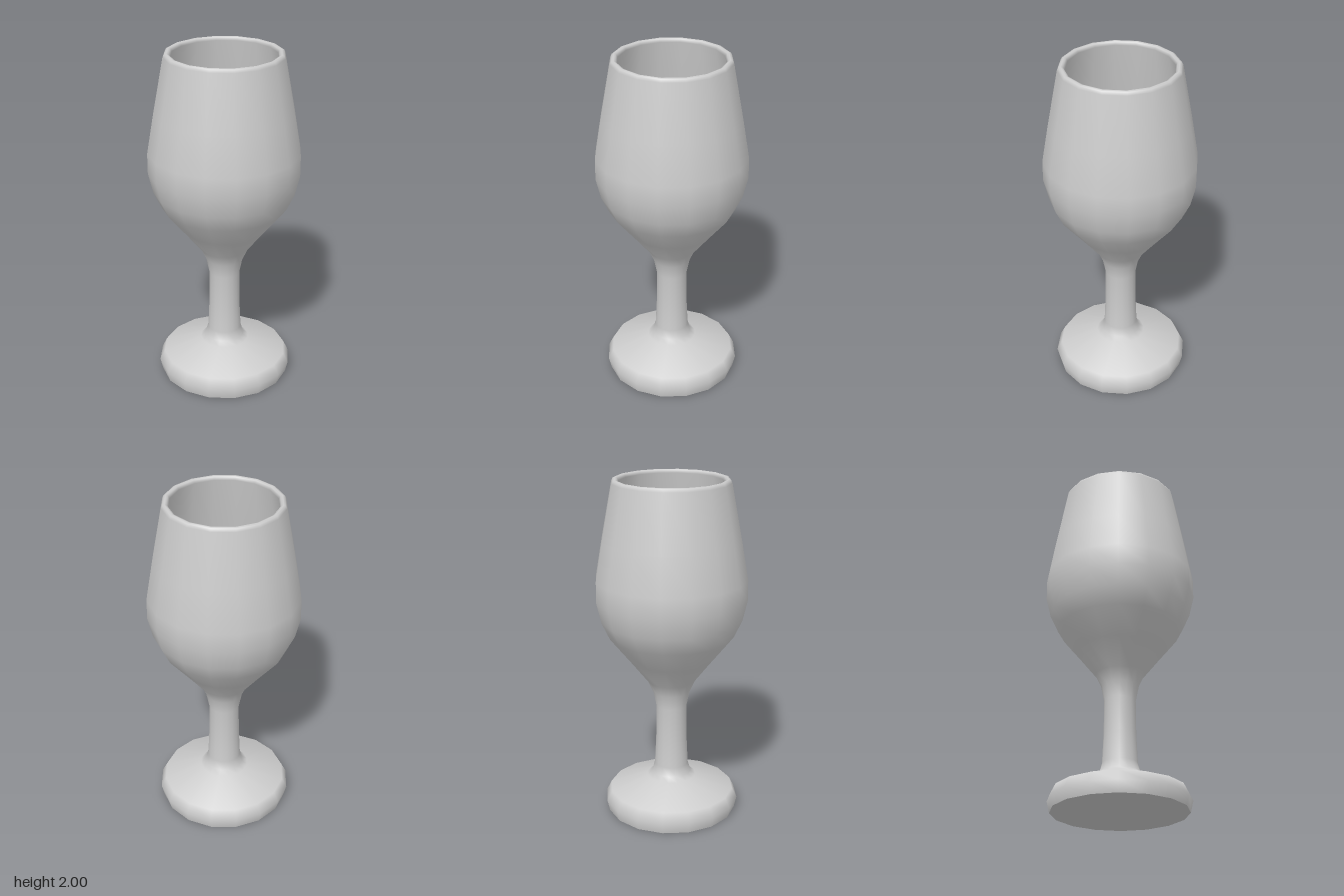
import * as THREE from 'three';

const SIDES = 16;

export function createModel() {
  const model = new THREE.Group();
  model.name = 'goblet';
  const grey = new THREE.MeshStandardMaterial({ color: 0xcccccc });
  grey.name = 'plain grey';

  // Spins a [radius, height] profile around the y axis
  const turn = (name, profile) => {
    const points = profile.map(([r, y]) => new THREE.Vector2(r, y));
    const mesh = new THREE.Mesh(new THREE.LatheGeometry(points, SIDES), grey);
    mesh.name = name;
    model.add(mesh);
  };

  // Flat underside, kept apart so its edge stays sharp
  turn('underside', [[0, 0], [0.385, 0]]);

  // Foot, stem, bowl wall, rounded rim and hollow inside in one smooth skin
  turn('body', [
    // foot
    [0.385, 0], [0.4, 0.065], [0.37, 0.125], [0.145, 0.203],
    // stem
    [0.115, 0.228], [0.1, 0.28], [0.092, 0.45], [0.09, 0.65], [0.108, 0.74],
    // outside of the bowl
    [0.14, 0.81], [0.25, 0.95], [0.363, 1.09], [0.41, 1.19], [0.438, 1.31],
    [0.438, 1.43], [0.4, 1.65], [0.338, 1.98],
    // rim
    [0.33, 1.996], [0.318, 2], [0.306, 1.996], [0.297, 1.98],
    // inside of the bowl
    [0.36, 1.65], [0.396, 1.43], [0.396, 1.32], [0.37, 1.21], [0.325, 1.12],
    [0.21, 0.98], [0.11, 0.89], [0, 0.86],
  ]);

  return model;
}
